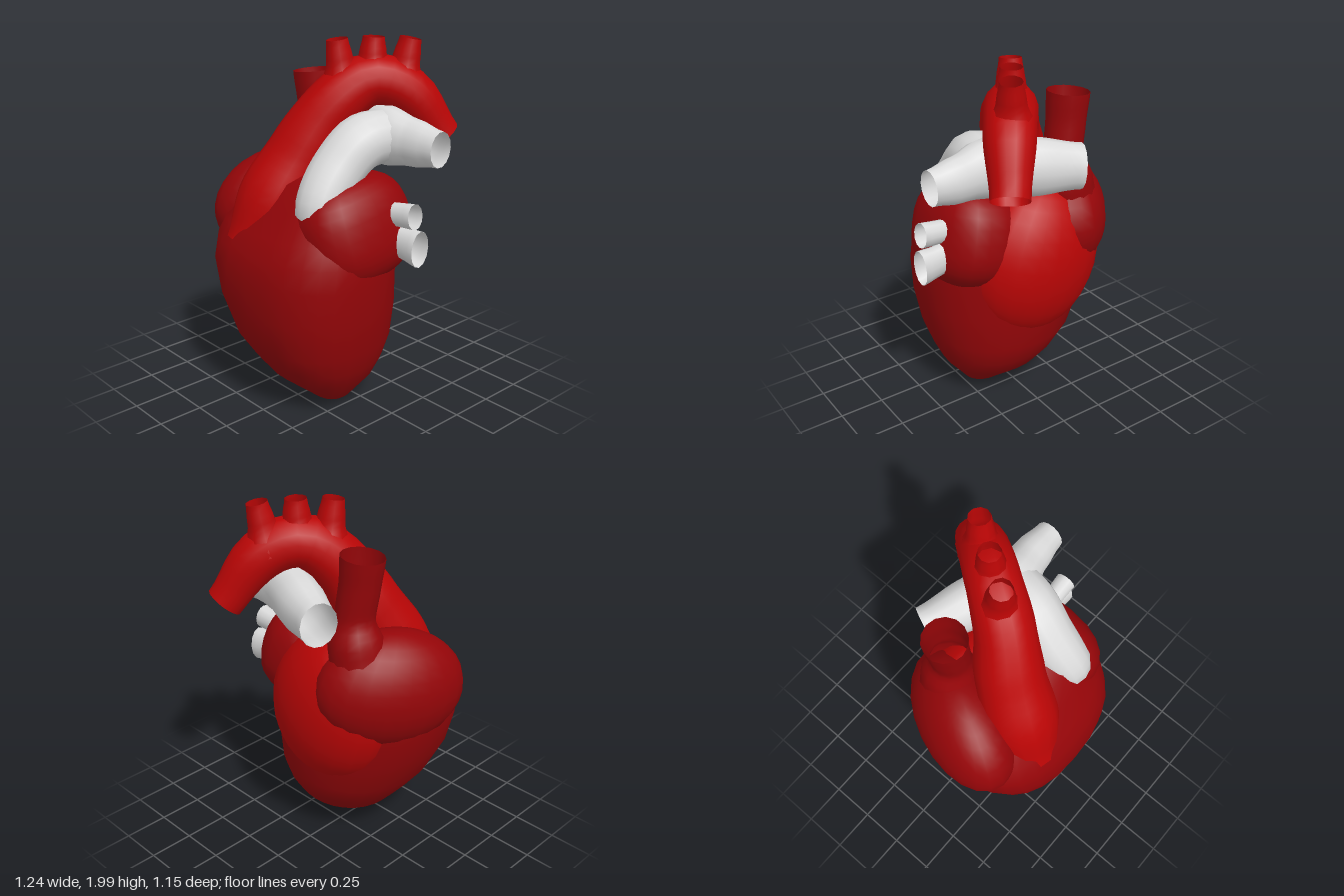
import * as THREE from 'three';
import { mergeVertices } from 'three/addons/utils/BufferGeometryUtils.js';

const mat = (name, color) => {
  const m = new THREE.MeshStandardMaterial({ color, side: THREE.DoubleSide });
  m.name = name;
  return m;
};
const V = (p) => new THREE.Vector3(...p);

// Weld seams and recompute smooth normals
function smooth(geo) {
  geo.deleteAttribute('uv');
  geo.deleteAttribute('normal');
  const g = mergeVertices(geo, 1e-4);
  g.computeVertexNormals();
  return g;
}

// Open vessel along a curve; each point is [x, y, z, radius], squash scales offsets
function vessel(points, rows = 16, sides = 14, squash = [1, 1, 1]) {
  const curve = new THREE.CatmullRomCurve3(points.map((p) => V(p.slice(0, 3))));
  const geo = new THREE.TubeGeometry(curve, rows, 1, sides);
  const pos = geo.attributes.position;
  const v = new THREE.Vector3();
  const s = V(squash);
  for (let i = 0; i <= rows; i++) {
    const c = curve.getPointAt(i / rows);
    const t = curve.getUtoTmapping(i / rows) * (points.length - 1);
    const k = Math.min(Math.floor(t), points.length - 2);
    const r = THREE.MathUtils.lerp(points[k][3], points[k + 1][3], THREE.MathUtils.smoothstep(t - k, 0, 1));
    for (let j = 0; j <= sides; j++) {
      const n = i * (sides + 1) + j;
      v.fromBufferAttribute(pos, n).sub(c).multiplyScalar(r).multiply(s).add(c);
      pos.setXYZ(n, v.x, v.y, v.z);
    }
  }
  return smooth(geo);
}

// Rounded chamber; a power below 1 makes it boxier
function chamber(radii, power = 1) {
  const geo = new THREE.SphereGeometry(1, 22, 16);
  const pos = geo.attributes.position;
  const f = (a, r) => Math.sign(a) * Math.abs(a) ** power * r;
  for (let i = 0; i < pos.count; i++) {
    pos.setXYZ(i, f(pos.getX(i), radii[0]), f(pos.getY(i), radii[1]), f(pos.getZ(i), radii[2]));
  }
  return smooth(geo);
}

// Loft of sections [y, xMin, xMax, zMin, zMax], bottom to top, boxier in front
function loft(sections, sides = 28) {
  const pos = [];
  const idx = [];
  sections.forEach(([y, x0, x1, z0, z1], i) => {
    for (let j = 0; j < sides; j++) {
      const a = (j / sides) * Math.PI * 2;
      const c = Math.cos(a);
      const s = Math.sin(a);
      const e = s > 0 ? 0.78 : 0.95;
      pos.push(
        (x0 + x1) / 2 + Math.sign(c) * Math.abs(c) ** e * (x1 - x0) / 2, y,
        (z0 + z1) / 2 + Math.sign(s) * Math.abs(s) ** e * (z1 - z0) / 2);
      if (i === 0) continue;
      const k = (j + 1) % sides;
      const a0 = (i - 1) * sides + j, a1 = (i - 1) * sides + k;
      const b0 = i * sides + j, b1 = i * sides + k;
      idx.push(a0, b0, a1, a1, b0, b1);
    }
  });
  const geo = new THREE.BufferGeometry();
  geo.setAttribute('position', new THREE.Float32BufferAttribute(pos, 3));
  geo.setIndex(idx);
  geo.computeVertexNormals();
  return geo;
}

export function createModel() {
  const heart = new THREE.Group();
  heart.name = 'heart';
  const muscle = mat('muscle dark red', 0x940508);
  const artery = mat('artery red', 0xb90505);
  const pale = mat('pale vessel', 0xdadada);

  const add = (name, geo, material, at = [0, 0, 0], rot = [0, 0, 0]) => {
    const m = new THREE.Mesh(geo, material);
    m.name = name;
    m.position.set(...at);
    m.rotation.set(...rot, 'YXZ');
    heart.add(m);
  };

  // Ventricles: the large tapering body
  add('ventricles', loft([
    [0.005, 0.13, 0.15, 0.12, 0.14],
    [0.05, 0.0, 0.25, 0.02, 0.23],
    [0.18, -0.22, 0.355, -0.14, 0.39],
    [0.28, -0.31, 0.4, -0.21, 0.46],
    [0.4, -0.4, 0.44, -0.26, 0.53],
    [0.6, -0.5, 0.475, -0.28, 0.575],
    [0.8, -0.555, 0.485, -0.28, 0.58],
    [0.92, -0.555, 0.48, -0.27, 0.55],
    [1.02, -0.53, 0.46, -0.25, 0.5],
    [1.15, -0.43, 0.41, -0.22, 0.41],
    [1.27, -0.27, 0.34, -0.12, 0.33],
    [1.32, -0.08, 0.25, 0.0, 0.24],
    [1.33, 0.07, 0.09, 0.11, 0.13],
  ]), muscle);

  // Atria and the brighter wall between them at the back
  add('rightAtrium', chamber([0.25, 0.33, 0.42]), muscle, [-0.34, 1.025, 0.03], [0.12, -0.41, 0]);
  add('leftAtrium', chamber([0.245, 0.29, 0.335], 0.8), muscle, [0.26, 1.035, 0.08], [0.16, 0, 0.24]);
  add('posteriorWall', chamber([0.39, 0.45, 0.275]), artery, [-0.06, 0.87, -0.11], [0, 0, 0.25]);

  // Great vein rising from the right atrium
  add('venaCava', vessel([
    [-0.27, 1.16, -0.12, 0.17], [-0.25, 1.3, -0.135, 0.15],
    [-0.235, 1.45, -0.13, 0.105], [-0.255, 1.62, -0.12, 0.107], [-0.27, 1.78, -0.115, 0.115],
  ]), muscle);

  // Aorta: root, arch and descending end
  add('aorta', vessel([
    [-0.2, 0.88, 0.37, 0.17], [-0.15, 1.15, 0.255, 0.208], [-0.08, 1.4, 0.125, 0.183],
    [0.015, 1.63, 0.01, 0.155], [0.125, 1.77, -0.16, 0.14],
    [0.24, 1.71, -0.32, 0.132], [0.355, 1.46, -0.49, 0.1],
  ], 26, 16), artery);

  // Three branches on top of the arch, flaring into it
  [
    [[0.045, 1.72, -0.05], [0.027, 1.985, -0.018]],
    [[0.13, 1.77, -0.17], [0.133, 1.995, -0.18]],
    [[0.215, 1.73, -0.3], [0.245, 1.985, -0.34]],
  ].forEach(([a, b], i) => {
    const mid = V(a).lerp(V(b), 0.6).toArray();
    add('archBranch' + (i + 1), vessel([[...a, 0.125], [...mid, 0.073], [...b, 0.058]], 8, 10), artery);
  });

  // Pulmonary trunk and its cross vessel
  add('pulmonaryTrunk', vessel([
    [0.24, 1.0, 0.27, 0.07], [0.22, 1.18, 0.275, 0.13], [0.21, 1.35, 0.15, 0.142],
    [0.235, 1.48, 0.0, 0.147], [0.27, 1.5, -0.16, 0.14],
  ], 20), pale);
  add('pulmonaryBranches', vessel([
    [0.615, 1.48, -0.185, 0.09], [0.45, 1.485, -0.18, 0.118], [0.27, 1.495, -0.165, 0.15],
    [0.05, 1.475, -0.245, 0.148], [-0.19, 1.455, -0.34, 0.118],
  ], 20, 14, [0.85, 1.05, 0.87]), pale);

  // Two veins leaving the left atrium
  add('upperPulmonaryVein', vessel([
    [0.38, 1.13, -0.02, 0.06], [0.5, 1.145, -0.03, 0.064], [0.595, 1.155, -0.035, 0.068],
  ], 6, 12, [1, 1, 0.85]), pale);
  add('lowerPulmonaryVein', vessel([
    [0.4, 1.01, -0.04, 0.085], [0.52, 0.99, -0.05, 0.09], [0.615, 0.98, -0.055, 0.1],
  ], 6, 12, [0.3, 1, 0.65]), pale);

  return heart;
}
